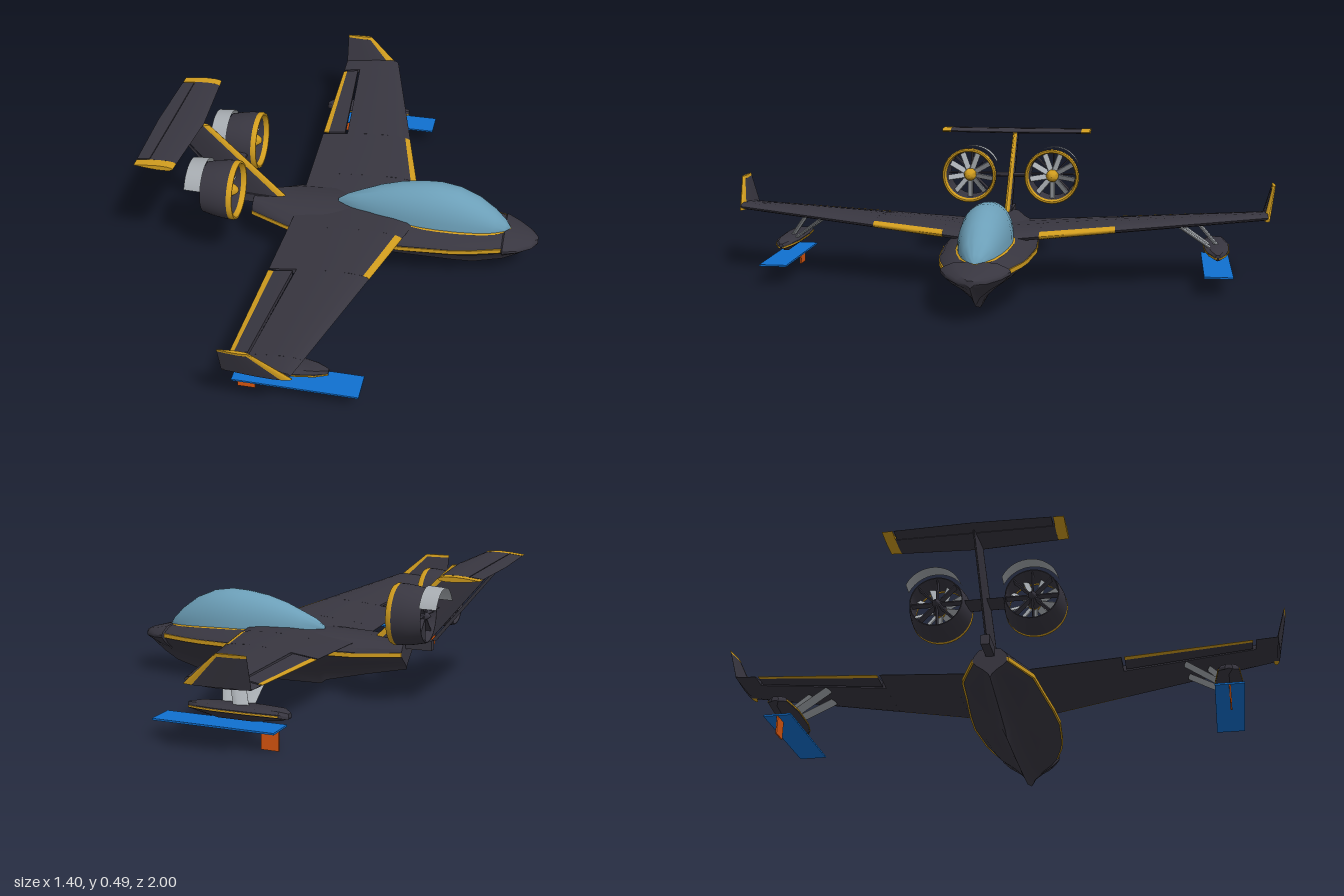
import * as THREE from 'three';
import { toCreasedNormals } from 'three/addons/utils/BufferGeometryUtils.js';

const paint = (name, color) => {
  const m = new THREE.MeshStandardMaterial({ color, side: THREE.DoubleSide });
  m.name = name;
  return m;
};

// Skin a row of closed rings, cap both ends and face everything outward
function loft(rings, crease = 0.6) {
  const n = rings[0].length, pos = [], idx = [];
  rings.forEach(r => r.forEach(p => pos.push(...p)));
  for (let i = 0; i < rings.length - 1; i++)
    for (let j = 0; j < n; j++) {
      const k = (j + 1) % n, a = i * n + j, b = i * n + k;
      idx.push(a, b, a + n, b, b + n, a + n);
    }
  [0, rings.length - 1].forEach((r, end) => {
    const c = pos.length / 3;
    pos.push(...[0, 1, 2].map(d => rings[r].reduce((s, p) => s + p[d], 0) / n));
    for (let j = 0; j < n; j++) {
      const a = r * n + j, b = r * n + (j + 1) % n;
      idx.push(...(end ? [a, b, c] : [b, a, c]));
    }
  });
  const v = i => new THREE.Vector3().fromArray(pos, idx[i] * 3);
  let volume = 0;
  for (let i = 0; i < idx.length; i += 3) volume += v(i).dot(v(i + 1).cross(v(i + 2)));
  if (volume < 0) idx.reverse();
  const g = new THREE.BufferGeometry();
  g.setAttribute('position', new THREE.Float32BufferAttribute(pos, 3));
  g.setIndex(idx);
  return toCreasedNormals(g, crease);
}

// Aerofoil slice between chord fractions a and b
// station: [leading x, trailing x, y, z, thickness, trailing edge drop]
const half = (t, f) => 5 * t * (0.2969 * Math.sqrt(f) - 0.126 * f - 0.3516 * f * f + 0.2843 * f ** 3 - 0.1 * f ** 4);
function foil(stations, a = 0, b = 1, upright = false) {
  const fs = [0, 0.04, 0.15, 0.4, 0.7, 1].map(f => a + (b - a) * f);
  return loft(stations.map(([x0, x1, y, z, t, drop = 0]) => {
    const point = (f, s) => {
      const h = s * half(t, f), px = x0 + (x1 - x0) * f, py = y - drop * f;
      return upright ? [px, py, z + h] : [px, py + h, z];
    };
    return [...fs.map(f => point(f, 1)), ...fs.slice().reverse().map(f => point(f, -1))];
  }));
}
const mix = (A, B, k) => A.map((v, i) => v + (B[i] - v) * k);

export function createModel() {
  const model = new THREE.Group();
  const dark = paint('charcoal', 0x383640), gold = paint('gold', 0xd09c1e), glass = paint('canopy blue', 0x6c9fb8);
  const grey = paint('light grey', 0xa6abb0), blue = paint('foil blue', 0x1070d0), orange = paint('rudder orange', 0xd8560f);
  const add = (name, geo, mat, parent = model) => {
    const m = new THREE.Mesh(geo, mat);
    m.name = name;
    parent.add(m);
    return m;
  };

  // Hull: x, half width, keel, chine, deck
  const hull = [
    [-0.35, 0.06, 0.09, 0.15, 0.2], [-0.2, 0.125, 0.058, 0.15, 0.207], [-0.04, 0.14, 0.02, 0.15, 0.212],
    [-0.02, 0.142, 0.005, 0.15, 0.212], [0.1, 0.155, 0.003, 0.15, 0.21], [0.22, 0.162, 0.003, 0.15, 0.208],
    [0.4, 0.148, 0.004, 0.15, 0.2], [0.47, 0.135, 0.008, 0.15, 0.195], [0.575, 0.105, 0.038, 0.15, 0.185],
    [0.58, 0.115, 0.04, 0.148, 0.188], [0.63, 0.09, 0.069, 0.142, 0.175],
    [0.68, 0.05, 0.107, 0.138, 0.162], [0.7, 0.014, 0.125, 0.139, 0.152]];
  const lower = [[0.12, 0.25], [0.4, 0.5], [0.76, 0.75], [1, 1]], upper = [[1, 0.25], [0.92, 0.5], [0.6, 0.9]];
  add('hull', loft(hull.map(([x, w, k, c, t]) => {
    const side = [...lower.map(([s, h]) => [s * w, k + (c - k) * h]), ...upper.map(([s, h]) => [s * w, c + (t - c) * h])];
    return [[x, k, 0], ...side.map(([z, y]) => [x, y, z]), [x, t, 0], ...side.reverse().map(([z, y]) => [x, y, -z])];
  })), dark);
  for (const s of [1, -1])
    add('chineStripe', loft(hull.slice(0, 9).map(([x, w, , c]) =>
      [[w - 0.004, 0], [w + 0.003, 0], [w + 0.003, 0.015], [w - 0.004, 0.015]].map(([z, y]) => [x, c + y - 0.003, s * z]))), gold);

  // Canopy: x, half width, base, top
  const canopy = [
    [-0.035, 0.004, 0.2, 0.222], [0, 0.022, 0.2, 0.247], [0.05, 0.042, 0.2, 0.268], [0.12, 0.064, 0.2, 0.297],
    [0.2, 0.08, 0.2, 0.32], [0.28, 0.089, 0.199, 0.332], [0.34, 0.091, 0.198, 0.335], [0.41, 0.086, 0.195, 0.324],
    [0.48, 0.073, 0.19, 0.294], [0.54, 0.053, 0.185, 0.25], [0.58, 0.029, 0.18, 0.21], [0.6, 0.005, 0.175, 0.183]];
  const bubble = (grow, height) => loft(canopy.map(([x, w, b, t]) => Array.from({ length: 17 }, (_, i) => {
    const a = Math.PI * i / 16;
    return [x, b + Math.sin(a) ** 0.9 * (height || t - b), Math.cos(a) * (w + grow)];
  })), 0.9);
  add('canopy', bubble(0, 0), glass);
  add('canopyRim', bubble(0.006, 0.009), gold);

  // Fin, rudder and tail fairing
  const finRoot = [-0.225, -0.45, 0.195, 0, 0.024], finTop = [-0.51, -0.68, 0.478, 0, 0.02];
  const fin = [finRoot, finTop];
  add('finLeadingEdge', foil(fin, 0, 0.13, true), gold);
  add('fin', foil(fin, 0.13, 0.9, true), dark);
  add('rudder', foil([mix(finRoot, finTop, 0.03), mix(finRoot, finTop, 0.92)], 0.93, 1, true), dark);
  add('tailFairing', new THREE.BoxGeometry(0.15, 0.035, 0.03), dark).position.set(-0.37, 0.186, 0);

  // Tailplane with elevators and gold tips
  const stab = z => [-0.53 - 0.07 * Math.abs(z), -0.7 + 0.03 * Math.abs(z), 0.481, z, 0.018];
  add('tailplane', foil([stab(-0.265), stab(0), stab(0.265)], 0, 0.67), dark);
  add('elevator', foil([stab(-0.26), stab(0), stab(0.26)], 0.685, 1), dark);

  for (const s of [1, -1]) {
    const side = new THREE.Group();
    side.name = s > 0 ? 'nearSide' : 'farSide';
    model.add(side);
    add('tailplaneTip', foil([stab(s * 0.265), stab(s * 0.3)]), gold, side);

    // Wing panels around the aileron cut-out
    const wing = z => mix([0.274, -0.178, 0.194, 0, 0.046, 0.008], [0.022, -0.2, 0.25, s * 0.96, 0.028, 0.014], z / 0.96);
    const panel = (name, z0, z1, a, b, mat) => add(name, foil([wing(z0), wing(z1)], a, b), mat, side);
    panel('wingRoot', 0, 0.17, 0, 1, dark);
    panel('wingInner', 0.17, 0.43, 0.06, 1, dark);
    panel('wingLeadingEdge', 0.17, 0.43, 0, 0.06, gold);
    panel('wingOuter', 0.43, 0.89, 0, 0.72, dark);
    panel('wingTip', 0.89, 0.965, 0, 1, dark);
    panel('aileron', 0.44, 0.88, 0.75, 0.94, dark);
    panel('aileronEdge', 0.44, 0.88, 0.94, 1, gold);

    // Winglet
    const w0 = [0.025, -0.2, 0.236, s * 0.963, 0.024], w1 = [-0.1, -0.2, 0.346, s * 0.994, 0.012], w2 = mix(w0, w1, 0.91);
    add('wingletLeadingEdge', foil([w0, w2], 0, 0.15, true), gold, side);
    add('winglet', foil([w0, w2], 0.15, 1, true), dark, side);
    add('wingletCap', foil([w2, w1], 0, 1, true), gold, side);

    // Tip float: x, half width, bottom, top
    const pod = [[-0.245, 0.012, 0.112, 0.126], [-0.22, 0.034, 0.1, 0.134], [-0.12, 0.045, 0.086, 0.136],
      [0, 0.042, 0.086, 0.135], [0.06, 0.03, 0.098, 0.133], [0.1, 0.008, 0.117, 0.128]];
    add('float', loft(pod.map(([x, w, b, t]) =>
      [[0, b], [w, t - 0.018], [w, t - 0.008], [w * 0.7, t], [-w * 0.7, t], [-w, t - 0.008], [-w, t - 0.018]]
        .map(([z, y]) => [x, y, s * 0.79 + z]))), dark, side);
    for (const e of [1, -1])
      add('floatStripe', loft(pod.slice(1).map(([x, w, , t]) =>
        [[w - 0.004, -0.016], [w + 0.002, -0.016], [w + 0.002, -0.011], [w - 0.004, -0.011]]
          .map(([z, y]) => [x, t + y, s * 0.79 + e * z]))), gold, side);

    // Float struts, hydrofoil and water rudder
    const struts = [[0.045, 0.66, -0.01, 0.78], [-0.01, 0.73, -0.06, 0.8], [-0.06, 0.65, -0.06, 0.78]];
    for (const [xt, zt, xb, zb] of struts)
      add('strut', foil([[xt, xt - 0.055, 0.21, s * zt, 0.018], [xb, xb - 0.055, 0.12, s * zb, 0.018]], 0, 1, true), grey, side);
    add('hydrofoil', new THREE.BoxGeometry(0.42, 0.006, 0.1), blue, side).position.set(-0.003, 0.07, s * 0.79);
    add('waterRudder', new THREE.BoxGeometry(0.06, 0.067, 0.005), orange, side).position.set(-0.178, 0.0345, s * 0.79);

    // Ducted fan, axis along x
    const engine = new THREE.Group();
    engine.name = 'ductedFan';
    engine.position.set(-0.36, 0.325, s * 0.163);
    engine.rotation.z = -Math.PI / 2;
    side.add(engine);
    const lathe = pts => toCreasedNormals(new THREE.LatheGeometry(pts.map(p => new THREE.Vector2(...p)), 40), 0.7);
    add('duct', lathe([[0.088, -0.12], [0.091, -0.12], [0.1, -0.08], [0.105, -0.045], [0.106, -0.02], [0.092, -0.02], [0.09, -0.06], [0.088, -0.12]]), dark, engine);
    add('ductLip', lathe([[0.092, -0.02], [0.106, -0.02], [0.107, -0.009], [0.103, -0.001], [0.097, -0.001], [0.093, -0.009], [0.092, -0.02]]), gold, engine);
    add('spinner', lathe([[0.024, -0.055], [0.024, -0.035], [0.019, -0.018], [0.01, -0.006], [0, -0.002]]), gold, engine);
    add('hub', lathe([[0, -0.13], [0.012, -0.115], [0.024, -0.055]]), dark, engine);
    for (let i = 0; i < 9; i++) {
      const arm = new THREE.Group();
      arm.name = 'fanBlade';
      arm.rotation.y = i * Math.PI * 2 / 9;
      engine.add(arm);
      const blade = add('blade', new THREE.BoxGeometry(0.07, 0.004, 0.024), grey, arm);
      blade.position.set(0.054, -0.045, 0);
      blade.rotation.x = 0.7;
    }
    for (let i = 0; i < 4; i++) {
      const vane = add('stator', new THREE.BoxGeometry(0.18, 0.03, 0.004), dark, engine);
      vane.position.y = -0.095;
      vane.rotation.y = i * Math.PI / 4;
    }
    add('thrustDeflector', new THREE.CylinderGeometry(0.104, 0.1, 0.06, 20, 1, true, Math.PI * 1.5 - 1.15, 2.3), grey, engine).position.y = -0.145;
    add('enginePylon', foil([[-0.39, -0.47, 0.325, 0, 0.016], [-0.39, -0.47, 0.325, s * 0.066, 0.016]]), dark, side);
  }
  return model;
}
